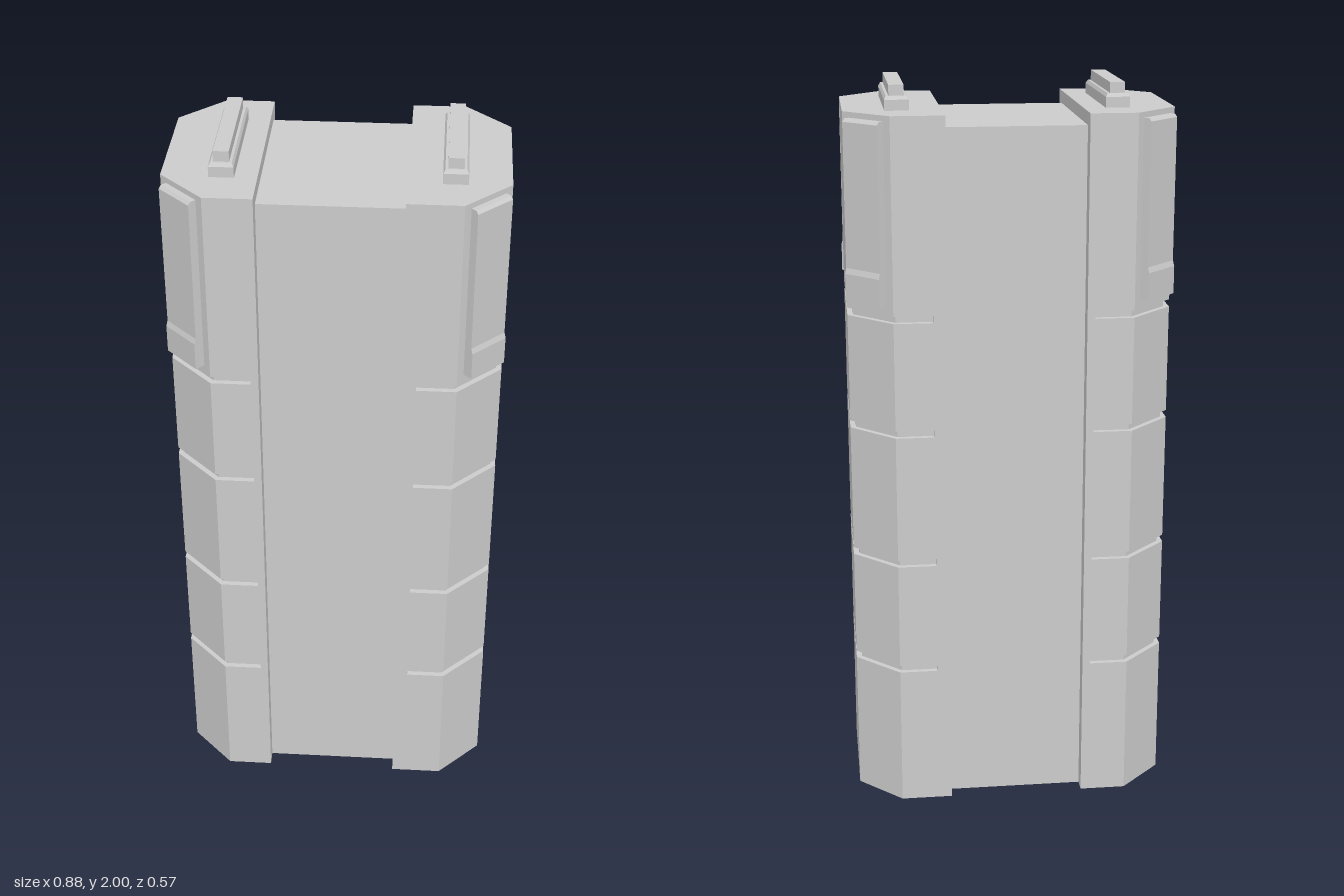
import * as THREE from 'three';

const grey = new THREE.MeshStandardMaterial({ color: 0xcccccc, flatShading: true });

function part(parent, name, geometry, x = 0, y = 0, z = 0) {
  const mesh = new THREE.Mesh(geometry, grey);
  mesh.name = name;
  mesh.position.set(x, y, z);
  parent.add(mesh);
  return mesh;
}

// Upright prism with two chamfered outer corners, from y0 to y1
function prism(s, inner, inset, y0, y1) {
  const x = 0.437 - inset, z = 0.28 - inset, c = 0.117 - inset * 0.6;
  const pts = [[inner, -z], [x - c, -z], [x, c - z], [x, z - c], [x - c, z], [inner, z]];
  const shape = new THREE.Shape(pts.map(([px, pz]) => new THREE.Vector2(s * px, pz)));
  return new THREE.ExtrudeGeometry(shape, { depth: y1 - y0, bevelEnabled: false })
    .rotateX(-Math.PI / 2).translate(0, y0, 0);
}

// Stepped rail: tapered tiers joined from rectangular cross-sections [halfX, halfZ, y]
function railGeometry() {
  const rings = [[0.032, 0.17, 1.93], [0.032, 0.17, 1.963], [0.027, 0.164, 1.972],
    [0.02, 0.158, 1.972], [0.02, 0.158, 2.0]];
  const pos = [], index = [];
  rings.forEach(([a, b, y]) => pos.push(-a, y, b, a, y, b, a, y, -b, -a, y, -b));
  for (let r = 0; r < rings.length - 1; r++) {
    for (let i = 0; i < 4; i++) {
      const a = r * 4 + i, b = r * 4 + (i + 1) % 4;
      index.push(a, b, b + 4, a, b + 4, a + 4);
    }
  }
  const t = (rings.length - 1) * 4;
  index.push(t, t + 1, t + 2, t, t + 2, t + 3);
  const g = new THREE.BufferGeometry();
  g.setAttribute('position', new THREE.Float32BufferAttribute(pos, 3));
  g.setIndex(index);
  const flat = g.toNonIndexed();
  flat.computeVertexNormals();
  return flat;
}

// Corner panel: side profile (x outward), a little thicker at its foot
function panelGeometry() {
  const profile = [[-0.01, 1.44], [0.028, 1.44], [0.028, 1.515], [0.023, 1.53],
    [0.023, 1.912], [0.016, 1.92], [-0.01, 1.92]];
  const shape = new THREE.Shape(profile.map(([x, y]) => new THREE.Vector2(x, y)));
  return new THREE.ExtrudeGeometry(shape, { depth: 0.12, bevelEnabled: false }).translate(0, 0, -0.06);
}

export function createModel() {
  const model = new THREE.Group();
  model.name = 'twinColumnBlock';

  // Central slab between the columns
  part(model, 'centreBody', new THREE.BoxGeometry(0.42, 1.9, 0.477), 0, 0.95, -0.001);

  const seams = [0.405, 0.72, 1.09, 1.405];
  const edges = [0, ...seams, 1.935];
  const gap = 0.01;

  for (const s of [1, -1]) {
    const column = new THREE.Group();
    column.name = s > 0 ? 'leftColumn' : 'rightColumn';
    model.add(column);
    const inner = s > 0 ? 0.178 : 0.194;
    const split = 0.215;

    // Unbroken inner strip and recessed core seen in the seams
    part(column, 'innerStrip', new THREE.BoxGeometry(split - inner, 1.935, 0.56),
      s * (inner + split) / 2, 0.9675, 0);
    part(column, 'core', prism(s, split - 0.01, 0.015, 0.01, 1.92));

    // Bands separated by narrow seams
    for (let i = 0; i < edges.length - 1; i++) {
      const y0 = edges[i] + (i > 0 ? gap : 0);
      const y1 = edges[i + 1] - (i < seams.length ? gap : 0);
      part(column, 'band', prism(s, split, 0, y0, y1));
    }

    // Top rail
    part(column, 'topRail', railGeometry(), s > 0 ? 0.296 : -0.284, 0, 0);

    // Panels on the chamfered corners
    for (const sz of [1, -1]) {
      const panel = part(column, 'cornerPanel', panelGeometry(), s * 0.3785, 0, sz * 0.2215);
      panel.rotation.y = Math.atan2(-sz, s);
    }
  }
  return model;
}
